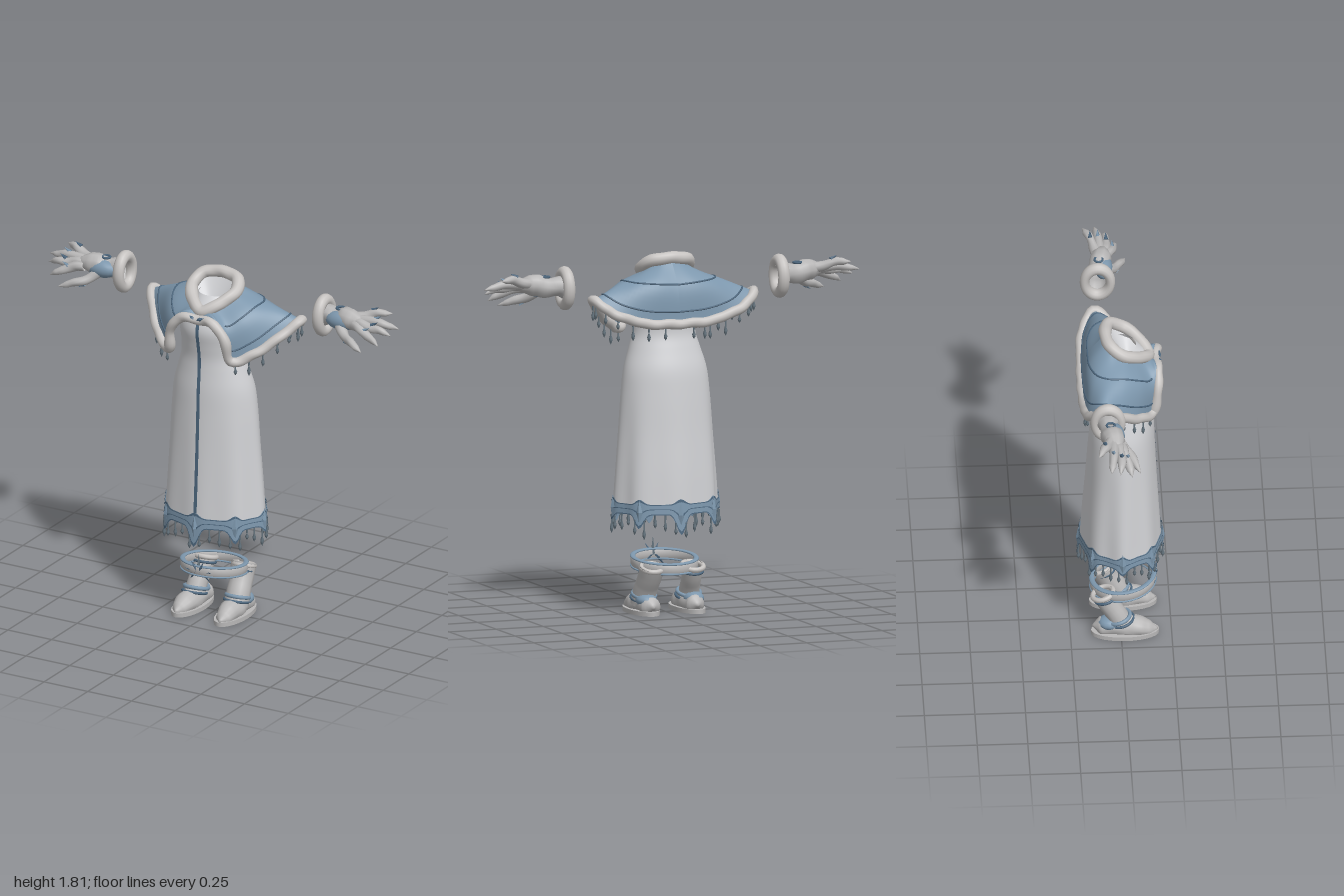
import * as THREE from 'three';
import { mergeVertices } from 'three/addons/utils/BufferGeometryUtils.js';

const V = (x, y, z) => new THREE.Vector3(x, y, z);
const paint = (name, color) => {
  const m = new THREE.MeshStandardMaterial({ color, side: THREE.DoubleSide });
  m.name = name;
  return m;
};

export function createModel() {
  const root = new THREE.Group();
  const cloth = paint('pale cloth', 0xd0d1d4);
  const fur = paint('fur', 0xc6c3c1);
  const leather = paint('grey leather', 0xb8b7b7);
  const blue = paint('frost blue', 0x7d97ad);
  const dark = paint('dark blue', 0x4d677e);
  const ice = paint('icicle grey', 0x66757f);

  const add = (name, geo, mat, parent = root) => {
    const m = new THREE.Mesh(geo, mat);
    m.name = name;
    parent.add(m);
    return m;
  };
  const group = (name) => {
    const g = new THREE.Group();
    g.name = name;
    root.add(g);
    return g;
  };

  // Surface from a rule f(u, v); seams are welded for smooth normals
  function grid(nu, nv, f) {
    const pos = [], idx = [];
    for (let j = 0; j <= nv; j++) for (let i = 0; i <= nu; i++) pos.push(...f(i / nu, j / nv).toArray());
    for (let j = 0; j < nv; j++) for (let i = 0; i < nu; i++) {
      const a = j * (nu + 1) + i, c = a + nu + 1;
      idx.push(a, a + 1, c, a + 1, c + 1, c);
    }
    let g = new THREE.BufferGeometry();
    g.setAttribute('position', new THREE.Float32BufferAttribute(pos, 3));
    g.setIndex(idx);
    g = mergeVertices(g, 1e-5);
    g.computeVertexNormals();
    return g;
  }

  // Tube with radius rule r(t), optional lumps and a floor for flat undersides
  function tube(curve, r, { closed = false, n = 24, sides = 10, lump = 0, floor = -1 } = {}) {
    const g = new THREE.TubeGeometry(curve, n, 1, sides, closed);
    const p = g.attributes.position, q = g.attributes.normal;
    for (let k = 0; k < p.count; k++) {
      const i = Math.floor(k / (sides + 1)), nv = V().fromBufferAttribute(q, k);
      const c = V().fromBufferAttribute(p, k).sub(nv);
      const wob = 1 + lump * Math.sin(c.x * 47 + nv.y * 2) * Math.cos(c.z * 53 + c.y * 31);
      c.addScaledVector(nv, (typeof r === 'number' ? r : r(i / n)) * wob);
      p.setXYZ(k, c.x, Math.max(c.y, floor), c.z);
    }
    g.deleteAttribute('uv');
    g.deleteAttribute('normal');
    const m = mergeVertices(g, 1e-5);
    m.computeVertexNormals();
    return m;
  }
  const path = (pts, closed = false) => new THREE.CatmullRomCurve3(pts.map((p) => V(...p)), closed);
  const mirrored = (pts) => path([...pts, ...pts.slice(1, -1).reverse().map(([x, y, z]) => [-x, y, z])], true);
  const radii = (list) => (t) => {
    const k = Math.min(t * (list.length - 1), list.length - 1.0001), i = Math.floor(k);
    return THREE.MathUtils.lerp(list[i], list[i + 1], k - i);
  };

  // Hanging icicle
  const iceGeo = new THREE.LatheGeometry([[0, -1], [0.1, -0.82], [0.13, -0.68], [0.05, -0.45], [0.07, 0]]
    .map(([x, y]) => new THREE.Vector2(x, y)), 6);
  const icicle = (p, len, parent) => {
    const m = add('icicle', iceGeo, ice, parent);
    m.position.copy(p);
    m.scale.set(0.07, len, 0.07);
  };

  // Robe: rows of y, half width, front z, back z
  const robe = group('robe');
  const rows = [
    [0.52, 0.268, 0.2, -0.195], [0.7, 0.257, 0.19, -0.185], [0.9, 0.243, 0.18, -0.17],
    [1.1, 0.228, 0.172, -0.157], [1.22, 0.212, 0.168, -0.145], [1.32, 0.182, 0.16, -0.118],
    [1.39, 0.162, 0.158, -0.1], [1.46, 0.16, 0.168, -0.102], [1.54, 0.165, 0.18, -0.12],
    [1.61, 0.145, 0.16, -0.12], [1.66, 0.1, 0.12, -0.1], [1.7, 0.085, 0.08, -0.07]];
  const widths = path(rows.map((r) => [r[1], r[0], 0])), depths = path(rows.map((r) => [r[2], r[0], r[3]]));
  const robePoint = (u, v, off = 0) => {
    const a = u * Math.PI * 2, w = widths.getPoint(v), d = depths.getPoint(v);
    const fold = 1 + 0.035 * Math.cos(8 * a) * THREE.MathUtils.clamp((1.2 - w.y) / 0.6, 0, 1);
    const s = Math.sin(a), c = Math.cos(a), mid = (d.x + d.z) / 2, dep = (d.x - d.z) / 2;
    return V(s * (w.x * fold + off), w.y, mid + c * (dep * (1 + (fold - 1) * 0.5) + off));
  };
  add('robeBody', grid(72, 48, (u, v) => robePoint(u, v)), cloth, robe);
  add('robeLining', grid(48, 24, (u, v) => robePoint(1 - u, v * 0.8, -0.008)), dark, robe);
  add('frontSeam', grid(2, 40, (u, v) => {
    const p = robePoint(0, v * 0.84, 0.004);
    return V((u - 0.5) * 0.018, p.y, p.z);
  }), dark, robe);

  // Pointed hem band
  const hemPoint = (a, v, off = 0) => {
    const peak = Math.pow((1 + Math.cos(8 * a)) / 2, 5), c = Math.cos(a);
    const low = 0.51 - peak * (0.035 + 0.065 * c * c), high = 0.562 + peak * 0.025;
    const y = low + (high - low) * v, grow = 0.272 + (0.52 - y) * 0.06 + off;
    const k = 1 + 0.03 * Math.cos(8 * a);
    return V(Math.sin(a) * grow * k, y, 0.002 + c * (grow - 0.068) * (1 + (k - 1) * 0.5));
  };
  const TAU = Math.PI * 2;
  add('hemTrim', grid(128, 5, (u, v) => hemPoint(u * TAU, v)), blue, robe);
  for (const [v, h] of [[0, 0.1], [0.5, 0.07], [0.92, 0.08]])
    add('hemPiping', grid(128, 1, (u, w) => hemPoint(u * TAU, v + w * h, 0.004)), dark, robe);
  for (let k = 0; k < 8; k++) {
    const gem = add('hemPoint', new THREE.OctahedronGeometry(1), blue, robe);
    gem.position.copy(hemPoint(k * TAU / 8, 0.55));
    gem.rotation.y = k * TAU / 8;
    gem.scale.set(0.018, 0.065, 0.012);
  }
  for (let k = 0; k < 32; k++)
    icicle(hemPoint((k + 0.5) * TAU / 32, 0.05), 0.06 + 0.035 * ((k * 7) % 5) / 4, robe);

  // Cape: half outlines from front centre round to back centre
  const cape = group('cape');
  const neck = [[0.01, 1.63, 0.14], [0.03, 1.64, 0.135], [0.05, 1.65, 0.12], [0.07, 1.66, 0.1], [0.1, 1.68, 0.06],
    [0.125, 1.7, 0.02], [0.125, 1.71, -0.02], [0.1, 1.73, -0.05], [0.06, 1.74, -0.08], [0, 1.75, -0.09]];
  const shoulder = [[0.01, 1.62, 0.165], [0.08, 1.635, 0.172], [0.125, 1.6, 0.17], [0.16, 1.57, 0.15], [0.215, 1.61, 0.09],
    [0.25, 1.65, 0.01], [0.26, 1.66, -0.07], [0.22, 1.65, -0.13], [0.12, 1.64, -0.165], [0, 1.63, -0.17]];
  const hem = [[0.01, 1.605, 0.175], [0.1, 1.595, 0.185], [0.155, 1.52, 0.18], [0.175, 1.41, 0.155], [0.28, 1.45, 0.08],
    [0.38, 1.54, -0.03], [0.425, 1.59, -0.11], [0.34, 1.525, -0.17], [0.18, 1.47, -0.185], [0, 1.46, -0.19]];
  const [c0, c1, c2] = [neck, shoulder, hem].map((p) => path(p));
  const capePoint = (u, v, s) => {
    const p = new THREE.CatmullRomCurve3([c0.getPoint(u), c1.getPoint(u), c2.getPoint(u)]).getPoint(v);
    p.x *= s;
    return p;
  };
  for (const s of [1, -1]) {
    add('capeHalf', grid(48, 14, (u, v) => capePoint(s > 0 ? u : 1 - u, 1 - v, s)), blue, cape);
    for (const v of [0.42, 0.83]) {
      const pts = [];
      for (let i = 0; i <= 24; i++) pts.push(capePoint(0.3 + 0.7 * i / 24, v, s).toArray());
      add('capePiping', tube(path(pts), 0.005, { n: 48, sides: 6 }), dark, cape);
    }
    for (let k = 0; k < 12; k++) {
      const p = capePoint(0.36 + k * 0.054, 1, s);
      p.y -= 0.012;
      icicle(p, 0.06 + 0.03 * ((k * 3) % 4) / 3, cape);
    }
    // Clasp wings
    const wing = add('claspWing', new THREE.OctahedronGeometry(1), dark, cape);
    wing.position.set(s * 0.022, 1.615, 0.195);
    wing.rotation.z = s * 0.4;
    wing.scale.set(0.028, 0.011, 0.01);
  }
  add('capeFur', tube(mirrored(hem), 0.025, { closed: true, n: 160, sides: 12, lump: 0.15 }), fur, cape);

  // Fur collar and the neck opening inside it
  const collar = mirrored([[0, 1.635, 0.14], [0.065, 1.67, 0.105], [0.122, 1.72, 0.02], [0.095, 1.762, -0.05], [0, 1.773, -0.073]]);
  add('collarFur', tube(collar, 0.031, { closed: true, n: 72, sides: 12, lump: 0.1 }), fur, cape);
  add('neckOpening', grid(48, 6, (u, v) => collar.getPoint(1 - u).lerp(V(0, 1.58, 0.04), v)), cloth, cape);

  for (const s of [1, -1]) {
    const side = s > 0 ? 'left' : 'right';
    const mir = (pts) => path(pts.map(([x, y, z]) => [s * x, y, z]));

    // Glove
    const glove = group(side + 'Glove');
    const cuff = add('gloveCuff', new THREE.TorusGeometry(0.08, 0.03, 12, 32), fur, glove);
    cuff.position.set(s * 0.57, 1.655, -0.085);
    cuff.rotation.y = Math.PI / 2;
    cuff.scale.set(0.8, 1, 1);
    add('gloveHand', tube(mir([[0.56, 1.655, -0.085], [0.65, 1.665, -0.08], [0.74, 1.675, -0.06], [0.84, 1.665, -0.045]]),
      radii([0.06, 0.05, 0.05, 0.055, 0.052, 0.03, 0]), { lump: 0.15 }), leather, glove);
    const guard = add('gloveGuard', new THREE.SphereGeometry(1, 16, 12), blue, glove);
    guard.position.set(s * 0.685, 1.66, -0.052);
    guard.scale.set(0.085, 0.047, 0.046);
    const stone = add('gloveStone', new THREE.TorusGeometry(0.02, 0.006, 6, 16), dark, glove);
    stone.position.set(s * 0.67, 1.715, -0.075);
    stone.rotation.x = Math.PI / 2;
    const fingers = [
      [[0.77, 1.66, -0.03], [0.86, 1.64, 0], [0.94, 1.595, 0.02]],
      [[0.77, 1.67, -0.045], [0.89, 1.665, -0.03], [0.98, 1.64, -0.04]],
      [[0.77, 1.68, -0.065], [0.89, 1.685, -0.07], [1, 1.665, -0.085]],
      [[0.76, 1.685, -0.08], [0.85, 1.71, -0.11], [0.93, 1.715, -0.145]],
      [[0.68, 1.645, -0.04], [0.76, 1.6, 0.015], [0.87, 1.565, 0.065]]];
    fingers.forEach((f, i) => {
      add(i < 4 ? 'finger' : 'thumb', tube(mir(f), radii([0.026, 0.025, 0.023, 0.021, 0.016, 0]), { n: 20, lump: 0.2 }), leather, glove);
      const spike = add('fingerSpike', new THREE.ConeGeometry(0.013, 0.04, 5), i % 2 ? dark : blue, glove);
      spike.position.set(s * f[1][0], f[1][1] + (i < 4 ? 0.026 : -0.024), f[1][2]);
      spike.rotation.z = -s * (i < 4 ? 1 : 2.2);
    });

    // Boot
    const boot = group(side + 'Boot');
    add('bootFoot', tube(mir([[0.118, 0.045, -0.145], [0.118, 0.045, -0.07], [0.12, 0.045, 0.03], [0.125, 0.03, 0.11], [0.127, 0.025, 0.185]]),
      radii([0, 0.048, 0.052, 0.056, 0.06, 0.06, 0.052, 0.04, 0]), { n: 32, sides: 14, lump: 0.08, floor: 0.015 }), leather, boot);
    const sole = add('bootSole', new THREE.CylinderGeometry(1, 1, 0.022, 28), leather, boot);
    sole.position.set(s * 0.122, 0.011, 0.02);
    sole.scale.set(0.073, 1, 0.168);
    add('bootShaft', tube(mir([[0.12, 0.05, 0.01], [0.118, 0.12, -0.02], [0.112, 0.19, -0.065], [0.108, 0.245, -0.09]]),
      radii([0.06, 0.056, 0.054, 0.055, 0.058]), { sides: 14, lump: 0.15 }), leather, boot);
    for (const [y, z, r, t, mat] of [[0.235, -0.088, 0.053, 0.013, fur], [0.212, -0.075, 0.055, 0.007, dark],
      [0.095, -0.01, 0.057, 0.01, blue], [0.075, 0.005, 0.06, 0.007, dark]]) {
      const ring = add('bootBand', new THREE.TorusGeometry(r, t, 8, 24), mat, boot);
      ring.position.set(s * (y > 0.2 ? 0.109 : 0.119), y, z);
      ring.rotation.x = Math.PI / 2 - 0.3;
    }
    const patch = add('heelPatch', new THREE.SphereGeometry(1, 14, 10), blue, boot);
    patch.position.set(s * 0.125, 0.07, -0.055);
    patch.scale.set(0.053, 0.034, 0.06);
  }

  // Tilted belt ring
  const belt = group('belt');
  const beltRing = (thick, tall, rise) => grid(56, 10, (u, v) => {
    const a = u * TAU, b = v * TAU, r = thick * Math.cos(b), z = Math.cos(a) * (0.155 + r);
    return V(Math.sin(a) * (0.158 + r), 0.248 + z * 0.12 + rise + tall * Math.sin(b), 0.015 + z);
  });
  add('beltBand', beltRing(0.011, 0.027, 0), leather, belt);
  for (const rise of [-0.024, 0.024]) add('beltEdge', beltRing(0.013, 0.006, rise), blue, belt);

  // Crystal cluster on the belt front
  for (let k = -5; k <= 5; k++) {
    const len = k === 0 ? 0.095 : 0.055 + 0.015 * (Math.abs(k) % 2);
    const geo = new THREE.ConeGeometry(0.012, len, 5).translate(0, len / 2, 0);
    const spike = add('beltCrystal', geo, k % 2 ? dark : ice, belt);
    spike.position.set(k * 0.003, 0.262, 0.168);
    spike.rotation.set(k % 2 ? 0.3 : 0, 0, -k * 0.5);
  }
  return root;
}
